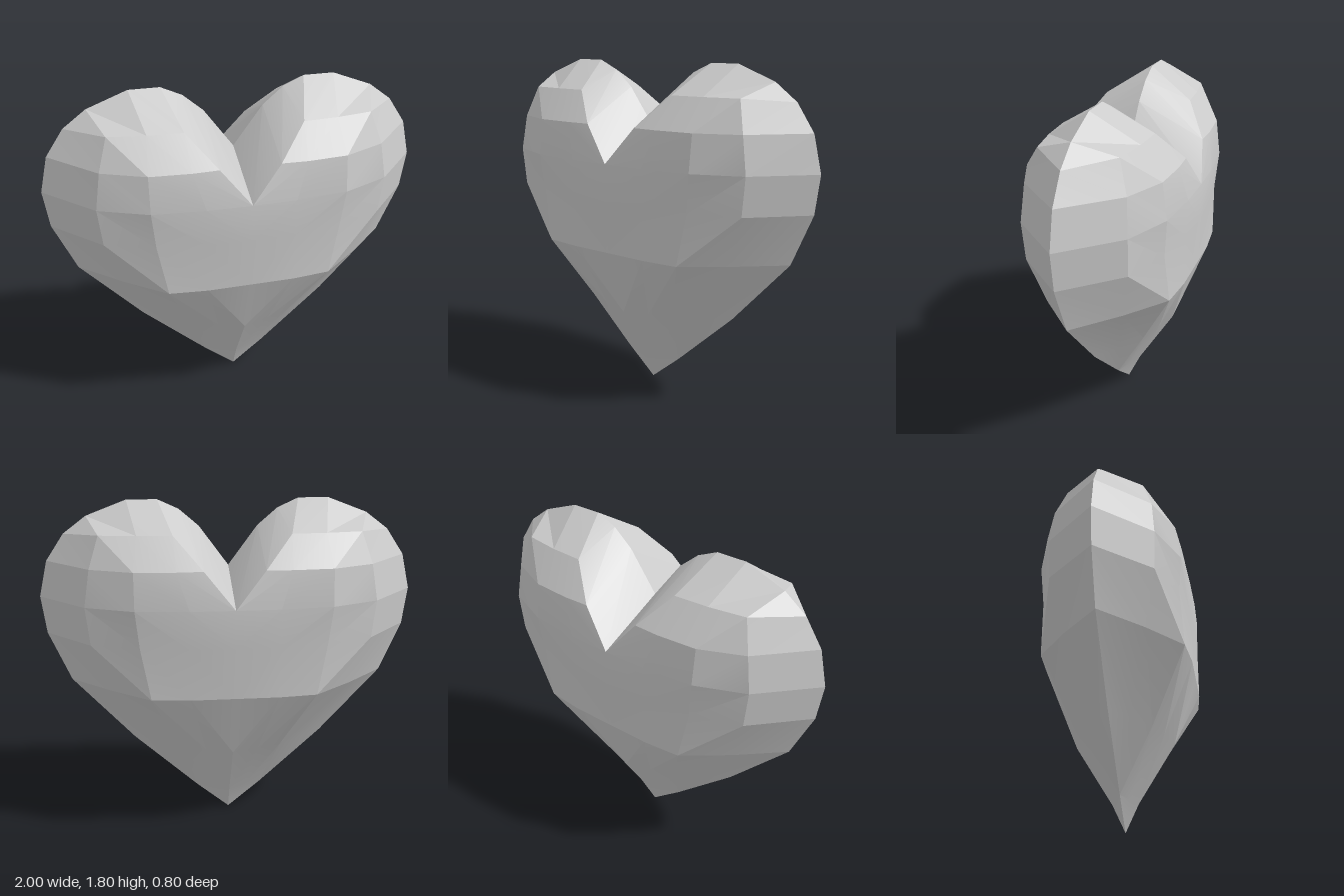
import * as THREE from 'three';
import { toCreasedNormals } from 'three/addons/utils/BufferGeometryUtils.js';

// Cross-sections of one quarter, from the tip up: [y, x values, z values],
// running from the centre line out to the rim
const sections = [
  [0, [0, 0, 0, 0, 0], [0, 0, 0, 0, 0]],
  [0.15, [0, 0.09, 0.18, 0.18, 0.18], [0.07, 0.035, 0, 0, 0]],
  [0.47, [0, 0.14, 0.27, 0.4, 0.53], [0.265, 0.225, 0.18, 0.09, 0]],
  [0.83, [0, 0.23, 0.43, 0.645, 0.86], [0.39, 0.39, 0.37, 0.2, 0]],
  [1.1, [0, 0.23, 0.48, 0.73, 0.975], [0.4, 0.39, 0.355, 0.26, 0]],
  [1.3, [0, 0.23, 0.5, 0.75, 1], [0.4, 0.395, 0.37, 0.265, 0]],
  [1.49, [0.155, 0.29, 0.5, 0.72, 0.955], [0.355, 0.36, 0.345, 0.25, 0]],
  [1.65, [0.3, 0.3, 0.48, 0.67, 0.86], [0.24, 0.24, 0.23, 0.2, 0]],
];

function createHeartGeometry() {
  const body = sections.map(([y, xs, zs]) => xs.map((x, i) => [x, y, zs[i]]));
  body[7][4][1] = 1.63;

  // Ridge over the lobe, and the lip and floor of the cleft
  const ridge = [[0.26, 1.75, 0], [0.37, 1.8, 0], [0.53, 1.8, 0], [0.74, 1.72, 0], body[7][4]];
  body.push(ridge);
  const lip = [body[5][0], body[6][0], body[7][0]];
  const cleft = [lip, [[0, 1.45, 0], [0.155, 1.66, 0], ridge[0]]];

  const positions = [];
  const same = (p, q) => p.every((v, i) => v === q[i]);
  function addTriangle(a, b, c, sx, sz) {
    if (same(a, b) || same(b, c) || same(a, c)) return;
    const order = sx * sz > 0 ? [a, b, c] : [a, c, b];
    for (const [x, y, z] of order) positions.push(x * sx, y, z * sz);
  }

  // Stitch the rows, mirrored into all four quarters
  for (const sx of [1, -1]) for (const sz of [1, -1]) {
    for (const rows of [body, cleft]) {
      for (let i = 0; i < rows.length - 1; i++) {
        for (let j = 0; j < rows[i].length - 1; j++) {
          const a = rows[i][j], b = rows[i][j + 1];
          const c = rows[i + 1][j + 1], d = rows[i + 1][j];
          addTriangle(a, b, c, sx, sz);
          addTriangle(a, c, d, sx, sz);
        }
      }
    }
  }

  const geometry = new THREE.BufferGeometry();
  geometry.setAttribute('position', new THREE.Float32BufferAttribute(positions, 3));
  return toCreasedNormals(geometry, 0.2);
}

export function createModel() {
  const group = new THREE.Group();
  group.name = 'heart';
  const heart = new THREE.Mesh(
    createHeartGeometry(),
    new THREE.MeshStandardMaterial({ color: 0xcccccc })
  );
  heart.name = 'heartBody';
  group.add(heart);
  return group;
}
